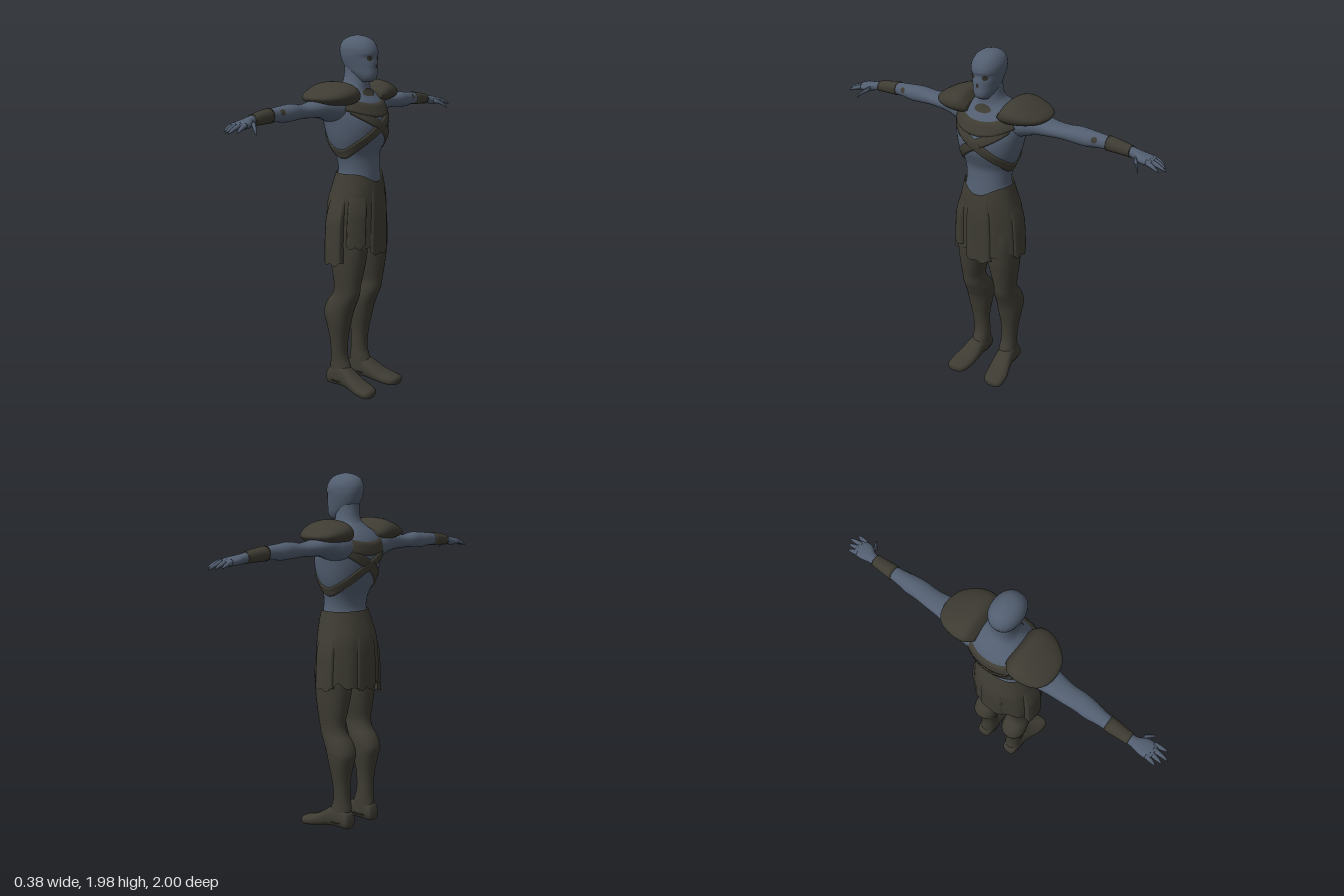
import * as THREE from 'three';
import { mergeVertices } from 'three/addons/utils/BufferGeometryUtils.js';

const skin = new THREE.MeshStandardMaterial({ color: 0x525e70 });
const leather = new THREE.MeshStandardMaterial({ color: 0x3d3b32, side: THREE.DoubleSide });
const shadowBrown = new THREE.MeshStandardMaterial({ color: 0x2f2c28, side: THREE.DoubleSide });
skin.name = 'blue skin'; leather.name = 'dark leather'; shadowBrown.name = 'eye brown';

// Axis maps: t runs along the part, u and v span its cross-section, s mirrors across z
const upright = s => (t, u, v) => new THREE.Vector3(u, t, v * s);
const sideways = s => (t, u, v) => new THREE.Vector3(u, v, t * s);
const forward = s => (t, u, v) => new THREE.Vector3(t, v, u * s);

// Smooth interpolation of cross-section rows [t, u0, u1, v0, v1]
function rowAt(rows, t) {
  let i = 0;
  while (i < rows.length - 2 && t > rows[i + 1][0]) i++;
  const slope = (j, c) => {
    const a = rows[Math.max(j - 1, 0)], b = rows[Math.min(j + 1, rows.length - 1)];
    return (b[c] - a[c]) / (b[0] - a[0]);
  };
  const p = rows[i], q = rows[i + 1], h = q[0] - p[0], k = (t - p[0]) / h;
  return p.map((_, c) => c === 0 ? t :
    p[c] * (1 + 2 * k) * (1 - k) ** 2 + q[c] * k * k * (3 - 2 * k) +
    h * (slope(i, c) * k * (1 - k) ** 2 + slope(i + 1, c) * k * k * (k - 1)));
}

// Point on a lofted surface at angle a, position t, lifted by off
function surface(rows, map, e = 0.92) {
  const pw = x => Math.sign(x) * Math.abs(x) ** e;
  return (a, t, off = 0) => {
    const [, u0, u1, v0, v1] = rowAt(rows, t);
    return map(t, (u0 + u1) / 2 + ((u1 - u0) / 2 + off) * pw(Math.cos(a)),
      (v0 + v1) / 2 + ((v1 - v0) / 2 + off) * pw(Math.sin(a)));
  };
}

function toGeometry(points, index) {
  const g = new THREE.BufferGeometry().setFromPoints(points);
  g.setIndex(index);
  return g;
}

// Closed, capped loft, wound outward whatever the mirroring
function loft(rows, map, { n = 28, sub = 4, e = 0.92, off = 0, from = rows[0][0], to = rows[rows.length - 1][0] } = {}) {
  const surf = surface(rows, map, e), pts = [], idx = [], ts = [from];
  for (let i = 0; i < rows.length - 1; i++) for (let k = 1; k <= sub; k++) {
    const t = rows[i][0] + (rows[i + 1][0] - rows[i][0]) * k / sub;
    if (t > from + 1e-4 && t < to - 1e-4) ts.push(t);
  }
  ts.push(to);
  for (const t of ts) for (let j = 0; j < n; j++) pts.push(surf(j / n * Math.PI * 2, t, off));
  for (let i = 0; i < ts.length - 1; i++) for (let j = 0; j < n; j++) {
    const a = i * n + j, b = i * n + (j + 1) % n;
    idx.push(a, b, a + n, b, b + n, a + n);
  }
  for (const end of [0, ts.length - 1]) {
    const c = pts.length, mid = new THREE.Vector3();
    for (let j = 0; j < n; j++) mid.addScaledVector(pts[end * n + j], 1 / n);
    pts.push(mid);
    for (let j = 0; j < n; j++) {
      const a = end * n + j, b = end * n + (j + 1) % n;
      end ? idx.push(a, b, c) : idx.push(b, a, c);
    }
  }
  let volume = 0;
  for (let i = 0; i < idx.length; i += 3)
    volume += pts[idx[i]].dot(new THREE.Vector3().crossVectors(pts[idx[i + 1]], pts[idx[i + 2]]));
  if (volume < 0) idx.reverse();
  const g = toGeometry(pts, idx);
  g.computeVertexNormals();
  return g;
}

// Thin sheet from a rule f(u, v)
function sheet(nu, nv, f) {
  const pts = [], idx = [];
  for (let i = 0; i <= nu; i++) for (let j = 0; j <= nv; j++) pts.push(f(i / nu, j / nv));
  for (let i = 0; i < nu; i++) for (let j = 0; j < nv; j++) {
    const a = i * (nv + 1) + j, b = a + nv + 1;
    idx.push(a, a + 1, b, a + 1, b + 1, b);
  }
  const g = mergeVertices(toGeometry(pts, idx), 1e-5);
  g.computeVertexNormals();
  return g;
}
const lift = (v, h) => (v < 0.01 || v > 0.99 ? -0.005 : h);

const TORSO = [[1.1, -.14, .12, .16], [1.2, -.12, .115, .14], [1.25, -.1, .11, .127], [1.3, -.1, .105, .128],
  [1.35, -.115, .105, .14], [1.4, -.143, .125, .16], [1.45, -.163, .145, .175], [1.52, -.18, .15, .188],
  [1.58, -.183, .13, .195], [1.63, -.173, .105, .185], [1.67, -.148, .073, .15], [1.7, -.12, .058, .1],
  [1.73, -.092, .055, .07], [1.78, -.08, .05, .058], [1.83, -.08, .04, .055]].map(r => [...r.slice(0, 3), -r[3], r[3]]);
const HEAD = [[1.74, .02, .085, .03], [1.755, 0, .107, .042], [1.78, -.035, .114, .055], [1.81, -.07, .113, .064],
  [1.84, -.09, .112, .072], [1.87, -.1, .107, .079], [1.89, -.105, .114, .082], [1.92, -.105, .108, .082],
  [1.95, -.093, .09, .071], [1.97, -.07, .065, .053], [1.98, -.045, .04, .034], [1.987, -.012, .004, .005]]
  .map(r => [...r.slice(0, 3), -r[3], r[3]]);
const SKIRT = [[.74, -.16, .14, -.2, .2], [.85, -.16, .138, -.197, .197], [1, -.158, .138, -.188, .188],
  [1.1, -.153, .138, -.176, .176], [1.18, -.132, .133, -.155, .155], [1.26, -.107, .117, -.135, .135]];
const LEG = [[1.12, -.12, .1, .01, .14], [.95, -.12, .115, .002, .183], [.8, -.105, .11, .012, .182],
  [.7, -.09, .095, .03, .175], [.62, -.078, .08, .048, .166], [.57, -.09, .072, .044, .165],
  [.52, -.127, .05, .033, .172], [.46, -.147, .025, .03, .176], [.4, -.132, .01, .035, .17],
  [.3, -.112, -.01, .05, .152], [.2, -.11, -.014, .05, .142], [.13, -.118, .01, .047, .145],
  [.06, -.12, .03, .047, .15]].reverse();
const FOOT = [[-.133, .08, .125, .05, .085], [-.123, .06, .14, .03, .12], [-.06, .05, .148, .027, .165],
  [0, .05, .155, .025, .142], [.05, .05, .17, .018, .108], [.1, .055, .185, .01, .08],
  [.15, .065, .188, .004, .064], [.18, .085, .18, .007, .055], [.192, .115, .155, .018, .043]];
const ARM = [[.08, -.16, .06, 1.51, 1.68], [.16, -.163, .05, 1.525, 1.68], [.22, -.15, .03, 1.545, 1.672],
  [.28, -.14, .01, 1.56, 1.66], [.35, -.13, -.005, 1.565, 1.645], [.42, -.125, -.015, 1.567, 1.64],
  [.5, -.12, -.015, 1.562, 1.65], [.56, -.12, -.02, 1.56, 1.645], [.62, -.112, -.032, 1.567, 1.64],
  [.7, -.107, -.038, 1.567, 1.632], [.78, -.1, -.042, 1.565, 1.618], [.82, -.098, -.04, 1.56, 1.61],
  [.86, -.105, -.015, 1.555, 1.602], [.9, -.105, -.01, 1.555, 1.595], [.925, -.095, -.018, 1.562, 1.586]];
const PAD = [[.095, -.14, .08, 1.63, 1.69], [.13, -.178, .105, 1.615, 1.738], [.18, -.19, .113, 1.615, 1.745],
  [.24, -.182, .095, 1.622, 1.725], [.29, -.16, .06, 1.632, 1.7], [.32, -.125, .02, 1.645, 1.682],
  [.334, -.08, -.03, 1.657, 1.668]];
// Finger rules: base x, base z, tip x, tip z, tip y
const FINGERS = [[-.09, .9, -.098, .965, 1.55], [-.066, .91, -.07, .985, 1.545], [-.042, .91, -.04, 1, 1.543],
  [-.02, .9, -.003, .975, 1.548], [-.02, .84, .037, .888, 1.532]];

export function createModel() {
  const model = new THREE.Group();
  const add = (name, geometry, material) => {
    const mesh = new THREE.Mesh(geometry, material);
    mesh.name = name;
    model.add(mesh);
  };
  const up = upright(1);
  const torso = surface(TORSO, up), head = surface(HEAD, up), skirt = surface(SKIRT, up);

  add('torso', loft(TORSO, up, { n: 40 }), skin);
  add('head', loft(HEAD, up, { n: 36 }), skin);

  // Face details
  const spot = (surf, a, y, wa, hy, off) => sheet(4, 14, (u, v) =>
    surf(a + wa * u * Math.cos(v * Math.PI * 2), y + hy * u * Math.sin(v * Math.PI * 2), off));
  for (const s of [-1, 1]) add('eye', spot(head, s * .45, 1.865, .2, .013, .003), shadowBrown);
  add('noseHollow', spot(head, 0, 1.822, .09, .012, .003), shadowBrown);
  add('throatPlate', spot(torso, 0, 1.685, .35, .022, .005), leather);

  // Collar lying over the shoulders
  add('collar', sheet(60, 8, (u, v) => {
    const a = u * Math.PI * 2 + Math.PI, side = Math.sin(a) ** 2;
    const low = 1.55 + .05 * side, high = 1.63 + .05 * side;
    return torso(a, low + (high - low) * v, lift(v, .008));
  }), leather);

  // Crossed straps looping round chest and back
  const path = new THREE.CatmullRomCurve3([[-.9, 1.6], [0, 1.505], [.8, 1.41], [1.57, 1.357], [2.3, 1.4],
    [3.14, 1.5], [4.1, 1.6]].map(([a, y]) => new THREE.Vector3(a, y, 0)));
  for (const s of [-1, 1]) add('chestStrap', sheet(80, 8, (u, v) => {
    const p = path.getPoint(u), d = path.getTangent(u);
    const dx = d.x * .16, len = Math.hypot(dx, d.y), w = (v - .5) * .056;
    return torso(s * (p.x - d.y / len * w / .16), p.y + dx / len * w, lift(v, .007));
  }), leather);

  // Ragged skirt with overlapping flaps
  add('skirt', sheet(72, 18, (u, v) => {
    const a = u * Math.PI * 2 + Math.PI;
    const top = 1.25 - .045 * Math.max(0, Math.cos(a)) ** 6;
    const hem = .84 + .016 * Math.sin(5 * a) + .012 * Math.sin(11 * a);
    return skirt(a, top + (hem - top) * v, .003 * Math.sin(9 * a) * v);
  }), leather);
  const flap = (name, a0, a1, top, hem, out) => add(name, sheet(14, 14, (u, v) => {
    const bottom = hem + .05 * Math.abs(u - .5) ** 2 + .008 * Math.sin(u * 14);
    const edge = u < .01 || u > .99 ? -.004 : out * Math.min(1, v * 3);
    return skirt(a0 + (a1 - a0) * u, top + (bottom - top) * v, edge);
  }), leather);
  flap('frontFlap', -.45, .34, 1.19, .8, .008);
  flap('sideFlap', 1.3, 2.0, 1.12, .755, .024);
  flap('hipFlap', .5, 1.2, 1.13, .85, .014);
  flap('farSideFlap', -2.0, -1.2, 1.12, .825, .01);
  flap('backFlap', 2.75, 3.5, 1.12, .82, .006);

  for (const s of [1, -1]) {
    const side = s > 0 ? 'left' : 'right', z = sideways(s);
    add(side + 'Leg', loft(LEG, upright(s)), leather);
    add(side + 'Foot', loft(FOOT, forward(s), { e: .85 }), leather);
    add(side + 'Arm', loft(ARM, z), skin);
    add(side + 'Bracer', loft(ARM, z, { from: .665, to: .795, off: .004 }), leather);
    add(side + 'ArmPatch', spot(surface(ARM, z), .35, .605, .4, .016, .003), leather);
    add(side + 'ShoulderPad', loft(PAD, z, { n: 36 }), leather);
    // Clawed fingers and thumb
    for (const [x0, z0, x1, z1, y1] of FINGERS) {
      const rows = [[0, .015, 0], [.4, .012, .25], [.75, .008, .6], [1, .0015, 1]].map(([k, r, drop]) => {
        const x = x0 + (x1 - x0) * k, y = 1.577 + (y1 - 1.577) * drop;
        return [z0 + (z1 - z0) * k, x - r, x + r, y - r, y + r];
      });
      add(side + 'Finger', loft(rows, z, { n: 10, sub: 3, e: 1 }), skin);
    }
  }
  return model;
}
